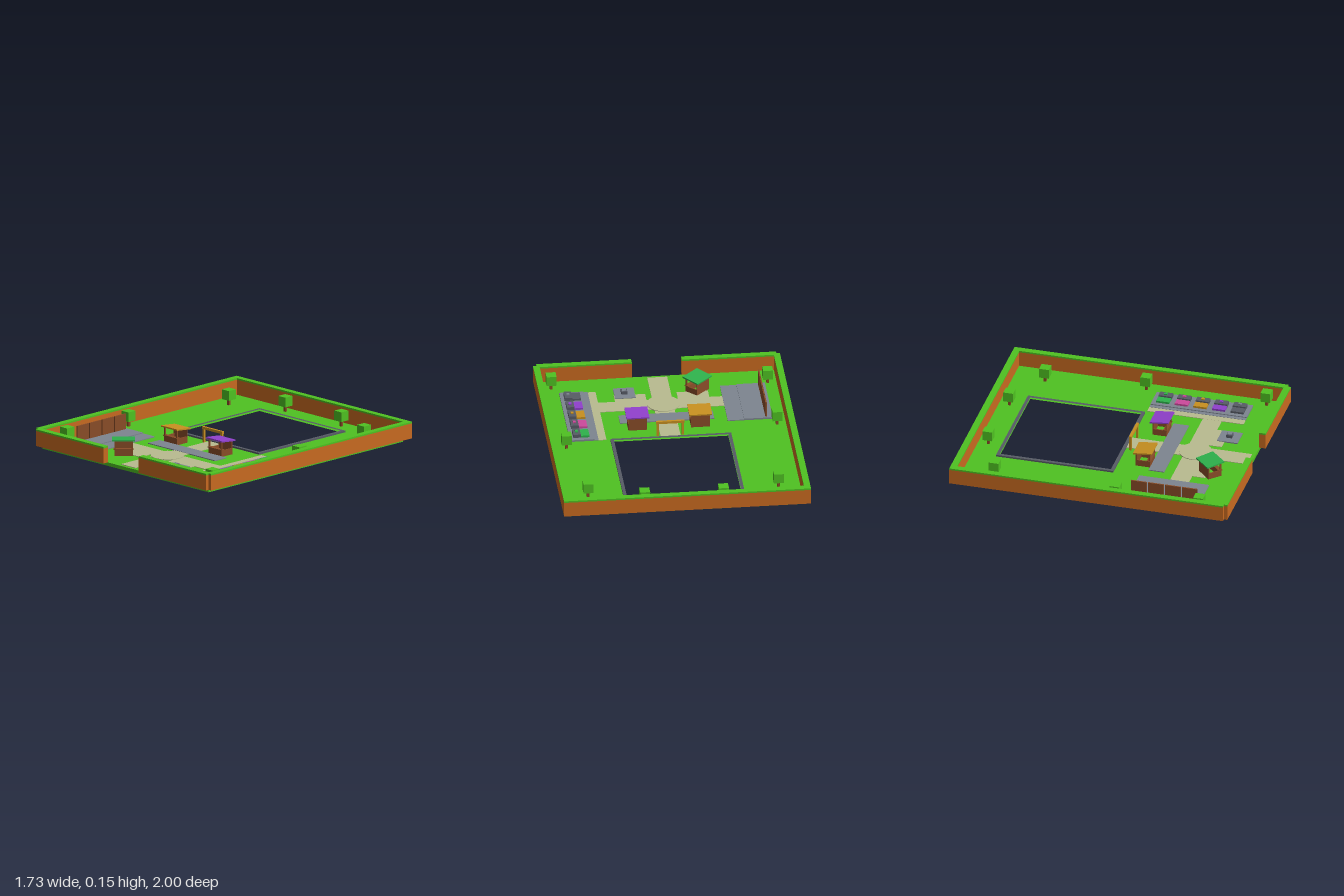
import * as THREE from 'three';

const mat = (name, color) => {
  const m = new THREE.MeshStandardMaterial({ color });
  m.name = name;
  return m;
};

export function createModel() {
  const root = new THREE.Group();
  root.name = 'walledPark';
  const green = mat('grass green', 0x4fc222);
  const rust = mat('wall orange', 0xc96a20);
  const slate = mat('paving grey', 0x7d8590);
  const dark = mat('dark grey', 0x585c66);
  const sand = mat('path beige', 0xb9bb90);
  const brown = mat('wood brown', 0x8a4d28);
  const amber = mat('amber', 0xc89020);
  const purple = mat('purple', 0x9040cc);
  const emerald = mat('emerald', 0x2eb24c);
  const pink = mat('pink', 0xcc4a9c);
  const G = 0.025; // ground level

  // Box given by its centre in x and z, and its bottom
  const box = (name, m, w, h, d, x, y, z, parent = root) => {
    const mesh = new THREE.Mesh(new THREE.BoxGeometry(w, h, d), m);
    mesh.name = name;
    mesh.position.set(x, y + h / 2, z);
    parent.add(mesh);
    return mesh;
  };
  // Box given by its plan rectangle
  const slab = (name, m, x0, x1, z0, z1, y, h) =>
    box(name, m, x1 - x0, h, z1 - z0, (x0 + x1) / 2, y, (z0 + z1) / 2);
  // Rectangular plate with a rectangular hole
  const ringPlate = (name, m, o, i, y, h) => {
    const rect = (p, [x0, x1, z0, z1]) =>
      p.moveTo(x0, -z0).lineTo(x1, -z0).lineTo(x1, -z1).lineTo(x0, -z1).closePath();
    const shape = rect(new THREE.Shape(), o);
    shape.holes.push(rect(new THREE.Path(), i));
    const geo = new THREE.ExtrudeGeometry(shape, { depth: h, bevelEnabled: false });
    const mesh = new THREE.Mesh(geo.rotateX(-Math.PI / 2), m);
    mesh.name = name;
    mesh.position.y = y;
    root.add(mesh);
  };

  // Lawn with a square opening and its curb
  const hole = [-0.4, 0.4, -0.76, 0.04];
  ringPlate('lawn', green, [-0.82, 0.82, -0.955, 0.955], hole, 0, G);
  ringPlate('openingCurb', dark, [-0.423, 0.423, -0.783, 0.063], hole, G, 0.012);

  // Perimeter walls with green caps and a gateway at the front
  const wall = (name, x0, x1, z0, z1) => {
    slab(name, rust, x0, x1, z0, z1, G, 0.108);
    slab(name + 'Cap', green, x0, x1, z0, z1, G + 0.108, 0.012);
  };
  wall('backWall', -0.82, 0.82, -1, -0.955);
  wall('leftWall', 0.82, 0.865, -1, 0.975);
  wall('rightWall', -0.865, -0.82, -1, 0.975);
  wall('frontWallLeft', 0.175, 0.84, 0.953, 1);
  wall('frontWallRight', -0.84, -0.175, 0.953, 1);

  // Paths and plaza
  slab('mainPath', sand, -0.07, 0.07, 0.063, 0.93, G, 0.004);
  slab('crossPath', sand, -0.42, 0.45, 0.472, 0.608, G, 0.0035);
  slab('sidePath', sand, 0.45, 0.505, 0.07, 0.765, G, 0.004);
  for (const s of [-1, 1])
    box('pathPatch', sand, 0.22, 0.0035, 0.092, s * 0.22, G, 0.654);
  const plaza = new THREE.Mesh(new THREE.CylinderGeometry(0.115, 0.115, 0.008, 32), sand);
  plaza.name = 'plaza';
  plaza.position.set(0, G + 0.004, 0.543);
  root.add(plaza);
  slab('stallPaving', slate, -0.33, 0.33, 0.293, 0.405, G, 0.006);

  // Entry arch
  box('archBeam', amber, 0.2, 0.018, 0.018, 0, 0.119, 0.097);
  for (const s of [-1, 1])
    box('archPost', amber, 0.016, 0.094, 0.016, s * 0.088, G, 0.097);

  // Market stalls with a tilted roof, open at the front above a counter
  const stall = (name, roofMat, x, z, turn) => {
    const g = new THREE.Group();
    g.name = name;
    g.position.set(x, G, z);
    g.rotation.y = turn;
    root.add(g);
    box('counter', brown, 0.13, 0.045, 0.02, 0, 0, 0.042, g);
    box('counterTop', brown, 0.14, 0.006, 0.03, 0, 0.045, 0.042, g);
    box('backPanel', brown, 0.13, 0.095, 0.008, 0, 0, -0.048, g);
    for (const s of [-1, 1]) {
      box('sidePanel', brown, 0.008, 0.045, 0.09, s * 0.061, 0, -0.004, g);
      box('frontPost', brown, 0.01, 0.107, 0.01, s * 0.06, 0, 0.047, g);
    }
    box('roof', roofMat, 0.16, 0.01, 0.135, 0, 0.103, 0, g).rotation.x = -0.1;
  };
  stall('amberStall', amber, -0.222, 0.24, 0);
  stall('purpleStall', purple, 0.218, 0.24, 0);
  stall('emeraldStall', emerald, -0.257, 0.718, Math.PI / 4);

  // Stage on the right with upright boards
  slab('stageLower', slate, -0.535, -0.42, 0.25, 0.755, G, 0.006);
  slab('stageUpper', slate, -0.735, -0.535, 0.25, 0.755, G, 0.012);
  for (let i = 0; i < 4; i++)
    box('stageBoard', brown, 0.01, 0.111, 0.112, -0.69, G + 0.012, 0.322 + i * 0.122);

  // Row of booths on the left, each with a coloured mat and dark desk
  slab('boothStep', slate, 0.505, 0.535, 0.07, 0.765, G, 0.006);
  slab('boothPlatform', slate, 0.535, 0.705, 0.07, 0.765, G, 0.012);
  [emerald, pink, amber, purple, dark].forEach((m, i) => {
    const z = 0.15 + i * 0.134;
    box('boothMat', m, 0.06, 0.014, 0.094, 0.595, G + 0.012, z);
    box('boothDesk', dark, 0.053, 0.024, 0.094, 0.652, G + 0.012, z);
    box('boothLamp', i === 4 ? slate : m, 0.02, 0.008, 0.024, 0.652, G + 0.036, z);
  });

  // Small monument on a square pad
  box('monumentPad', slate, 0.145, 0.008, 0.148, 0.253, G, 0.72);
  box('monumentBlock', dark, 0.042, 0.022, 0.042, 0.255, G + 0.008, 0.72);
  box('monumentTop', slate, 0.03, 0.004, 0.03, 0.255, G + 0.03, 0.72);

  // Cube trees
  for (const [x, z] of [[-0.265, -0.88], [0.287, -0.88], [-0.667, -0.725], [0.667, -0.725],
    [0.74, -0.015], [-0.757, 0.172], [-0.757, 0.775], [0.752, 0.85]]) {
    const tree = new THREE.Group();
    tree.name = 'tree';
    tree.position.set(x, G, z);
    root.add(tree);
    box('trunk', brown, 0.018, 0.045, 0.018, 0, 0, 0, tree);
    box('crown', green, 0.07, 0.07, 0.07, 0, 0.042, 0, tree);
  }
  return root;
}
